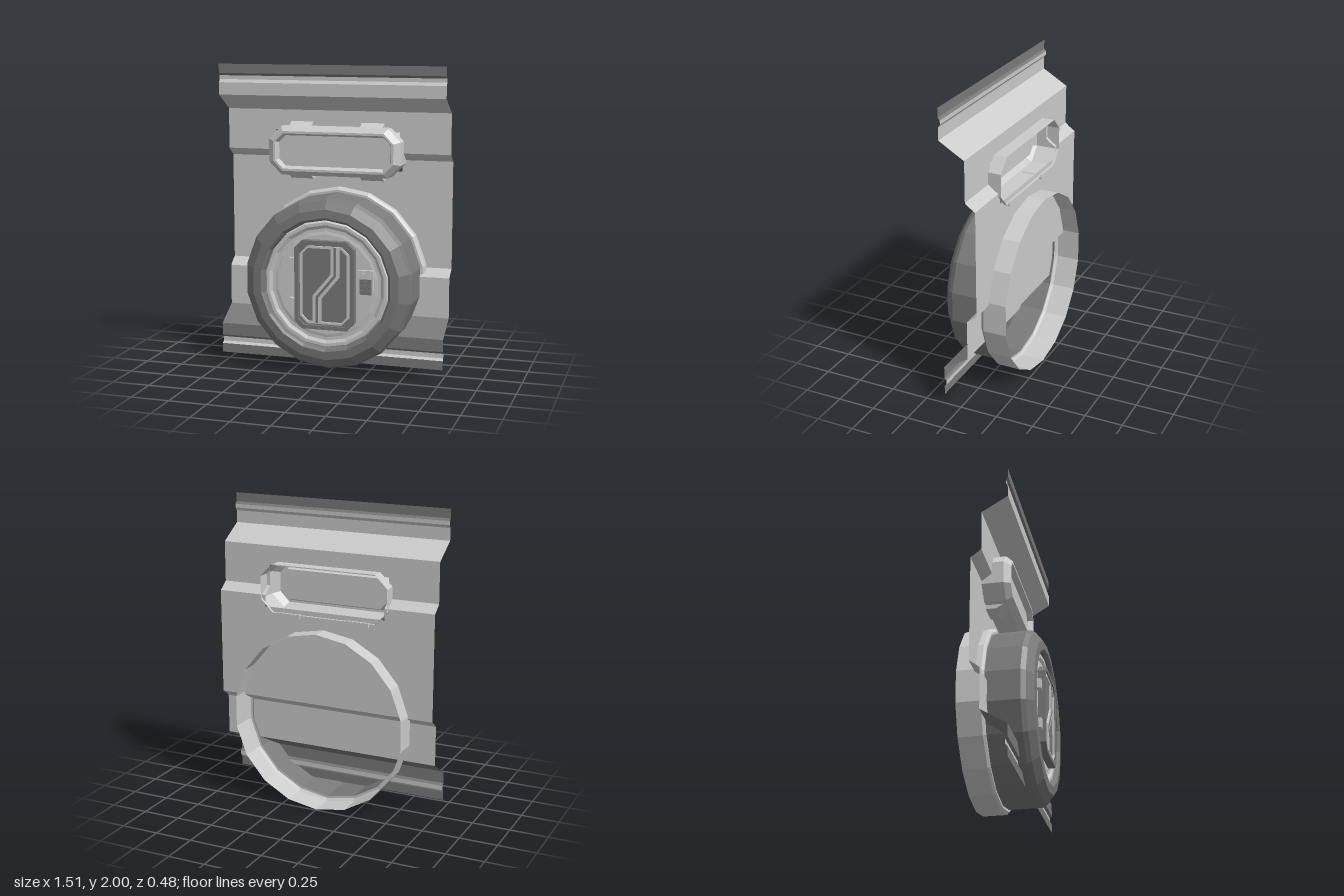
import * as THREE from 'three';

const material = (color) => new THREE.MeshStandardMaterial({ color, flatShading: true, side: THREE.DoubleSide });

export function createModel() {
  const model = new THREE.Group();
  const grey = material(0xcccccc);
  const dark = material(0x7a7a7a);

  const add = (name, geometry, mat = grey, parent = model) => {
    const mesh = new THREE.Mesh(geometry, mat);
    mesh.name = name;
    parent.add(mesh);
    return mesh;
  };
  const group = (name) => {
    const g = new THREE.Group();
    g.name = name;
    model.add(g);
    return g;
  };
  const shapeOf = (points) => new THREE.Shape(points.map(([x, y]) => new THREE.Vector2(x, y)));
  // Flat outline given thickness from z0 to z1
  const plate = (shape, z0, z1) =>
    new THREE.ExtrudeGeometry(shape, { depth: z1 - z0, bevelEnabled: false }).translate(0, 0, z0);
  // Rectangle with cut corners, centred on (0, cy)
  const octagon = (w, h, c, cy) => [
    [w, cy - h + c], [w, cy + h - c], [w - c, cy + h], [c - w, cy + h],
    [-w, cy + h - c], [-w, cy - h + c], [c - w, cy - h], [w - c, cy - h],
  ];
  // Skin between successive closed loops of [x, y, z]
  const loft = (loops) => {
    const pos = [];
    for (let k = 0; k + 1 < loops.length; k++) {
      const a = loops[k], b = loops[k + 1], n = a.length;
      for (let i = 0; i < n; i++) {
        const j = (i + 1) % n;
        pos.push(...a[i], ...a[j], ...b[j], ...a[i], ...b[j], ...b[i]);
      }
    }
    const g = new THREE.BufferGeometry();
    g.setAttribute('position', new THREE.Float32BufferAttribute(pos, 3));
    g.computeVertexNormals();
    return g;
  };
  // Folded sheet: [y, z] profile swept from x0 to x1
  const sheet = (profile, x0, x1) => {
    const pos = [];
    for (let i = 0; i + 1 < profile.length; i++) {
      const [ya, za] = profile[i], [yb, zb] = profile[i + 1];
      pos.push(x0, ya, za, x0, yb, zb, x1, yb, zb, x0, ya, za, x1, yb, zb, x1, ya, za);
    }
    const g = new THREE.BufferGeometry();
    g.setAttribute('position', new THREE.Float32BufferAttribute(pos, 3));
    g.computeVertexNormals();
    return g;
  };

  // Folded wall panel, open behind the window
  const W = 0.755, F = 0.112, G = 0.098, M = -0.055, B = -0.122;
  const wall = group('wallPanel');
  add('topStrip', sheet([[2, F], [1.94, F], [1.925, G]], -W, W), dark, wall);
  add('upperWall', sheet([[1.925, G], [1.9, G], [1.88, F], [1.8, F], [1.7, M], [1.57, M]], -W, W), grey, wall);
  for (const s of [-1, 1]) {
    add('windowSideWall', sheet([[1.57, M], [1.435, M], [1.41, -0.085], [1.385, B], [1.31, B]],
      s < 0 ? -W : 0.42, s < 0 ? -0.42 : W), grey, wall);
  }
  add('lowerWall', sheet([[1.31, B], [0.685, B], [0.66, -0.085], [0.635, M], [0.37, M]], -W, W), grey, wall);
  add('skirt', sheet([[0.37, M], [0.27, F], [0.19, F], [0.175, G]], -W, W), dark, wall);
  add('bottomMoulding', sheet([[0.175, G], [0.145, G], [0.13, F]], -W, W), grey, wall);
  add('bottomStrip', sheet([[0.13, F], [0.07, F]], -W, W), dark, wall);

  // Round hatch surround: outer ring, padded rim, inner disc
  const CY = 0.598;
  const hatch = group('hatch');
  const turned = (name, profile, mat) =>
    add(name, new THREE.LatheGeometry(profile.map(([r, z]) => new THREE.Vector2(r, z)), 18)
      .rotateX(Math.PI / 2).translate(0, CY, 0), mat, hatch);
  turned('outerRing', [[0.598, -0.24], [0.598, -0.085], [0.582, -0.07], [0.567, -0.07]], grey);
  turned('paddedRim', [[0.567, -0.07], [0.567, 0.15], [0.55, 0.18], [0.495, 0.222], [0.44, 0.227],
    [0.425, 0.215], [0.42, 0.18]], dark);
  turned('innerDisc', [[0.42, 0.18], [0.41, 0.2], [0.39, 0.2], [0.37, 0.188], [0.35, 0.188], [0.33, 0.192], [0, 0.192]], grey);

  // Hatch door with raised border and crooked centre bar
  const door = group('door');
  const DY = 0.6;
  add('doorSlab', plate(shapeOf(octagon(0.2, 0.29, 0.05, DY)), 0.19, 0.222), dark, door);
  const border = (w0, w1, z, mat) => {
    const s = shapeOf(octagon(w0, w0 + 0.09, 0.05, DY));
    s.holes.push(shapeOf(octagon(w1, w1 + 0.09, 0.04, DY).reverse()));
    add('doorBorder', plate(s, 0.22, z), mat, door);
  };
  border(0.2, 0.175, 0.24, dark);
  border(0.165, 0.15, 0.234, grey);
  const bar = (half, z, mat) => {
    const path = [[0.07, 0.85], [0.07, 0.665], [-0.05, 0.52], [-0.05, 0.35]];
    const d = half * 0.4;
    add('doorBar', plate(shapeOf([
      ...path.map(([x, y], i) => [x - half, y + (i === 1 || i === 2 ? d : 0)]),
      ...path.map(([x, y], i) => [x + half, y - (i === 1 || i === 2 ? d : 0)]).reverse(),
    ]), 0.22, z), mat, door);
  };
  bar(0.028, 0.234, grey);
  bar(0.008, 0.236, dark);
  for (const y of [0.735, 0.47]) {
    add('doorHinge', new THREE.BoxGeometry(0.055, 0.065, 0.03).translate(-0.217, y, 0.205), grey, door);
  }

  // Keypad with screen and buttons
  const keypad = group('keypad');
  add('keypadBody', plate(shapeOf([[0.215, 0.51], [0.285, 0.51], [0.295, 0.55], [0.32, 0.57],
    [0.32, 0.71], [0.215, 0.71]]), 0.188, 0.215), grey, keypad);
  add('keypadScreen', new THREE.BoxGeometry(0.07, 0.03, 0.008).translate(0.27, 0.68, 0.217), grey, keypad);
  add('keypadPlate', new THREE.BoxGeometry(0.08, 0.1, 0.004).translate(0.27, 0.604, 0.216), dark, keypad);
  for (let i = 0; i < 9; i++) {
    add('keypadButton', new THREE.BoxGeometry(0.018, 0.022, 0.012)
      .translate(0.246 + (i % 3) * 0.024, 0.574 + Math.floor(i / 3) * 0.03, 0.221), dark, keypad);
  }

  // Window frame, pane and clips
  const win = group('window');
  const WY = 1.438;
  const ring = ([w, h, c, z]) => octagon(w, h, c, WY).map(([x, y]) => [x, y, z]);
  add('windowFrame', loft([[0.445, 0.16, 0.085, -0.14], [0.445, 0.16, 0.085, 0.02], [0.405, 0.13, 0.065, 0.06],
    [0.39, 0.115, 0.055, 0.06], [0.375, 0.1, 0.045, 0.02]].map(ring)), grey, win);
  add('windowPane', new THREE.ShapeGeometry(shapeOf(octagon(0.375, 0.1, 0.045, WY))).translate(0, 0, 0.02), grey, win);
  // Clip outlines in [z, y], swept along x
  const clips = {
    upperClip: [[0, 1.595], [-0.055, 1.625], [-0.055, 1.595]],
    lowerClip: [[0, 1.281], [-0.055, 1.25], [-0.138, 1.25], [-0.138, 1.281]],
  };
  for (const [name, outline] of Object.entries(clips)) {
    for (const x of [-0.24, 0.24]) {
      add(name, plate(shapeOf(outline.map(([z, y]) => [-z, y])), -0.075, 0.075)
        .rotateY(Math.PI / 2).translate(x, 0, 0), grey, win);
    }
  }
  return model;
}
